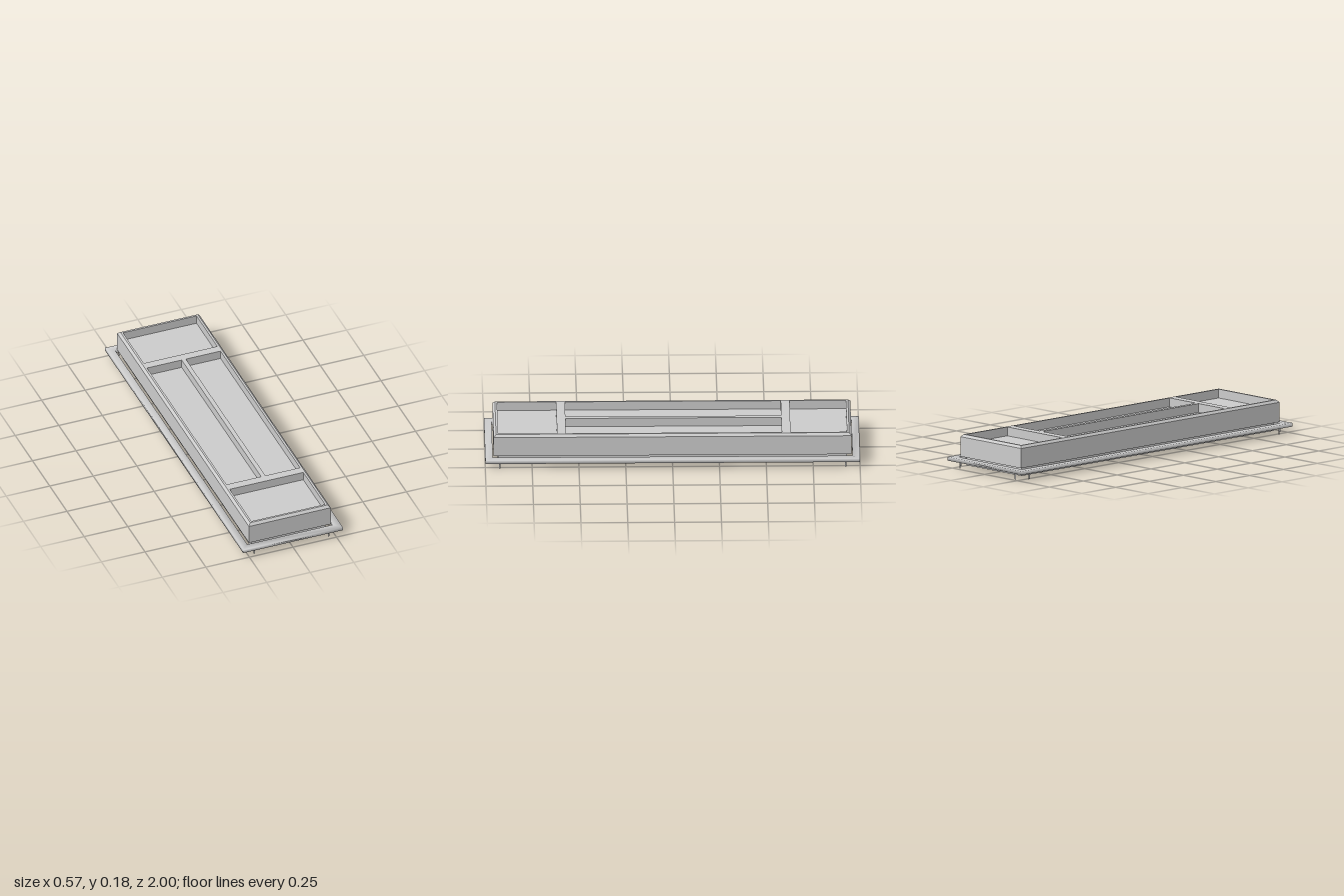
import * as THREE from 'three';
import { mergeVertices } from 'three/addons/utils/BufferGeometryUtils.js';

const material = new THREE.MeshStandardMaterial({ color: 0xcccccc });
const thinMaterial = new THREE.MeshStandardMaterial({ color: 0xcccccc, side: THREE.DoubleSide });

function add(group, name, geometry, x, y, z, mat = material) {
  const mesh = new THREE.Mesh(geometry, mat);
  mesh.name = name;
  mesh.position.set(x, y, z);
  group.add(mesh);
  return mesh;
}

// Box given by its lower and upper corners
function block(group, name, x0, x1, y0, y1, z0, z1) {
  add(group, name, new THREE.BoxGeometry(x1 - x0, y1 - y0, z1 - z0),
    (x0 + x1) / 2, (y0 + y1) / 2, (z0 + z1) / 2);
}

// Thin horizontal floor panel, visible from above and below
function floor(group, name, x0, x1, z0, z1) {
  add(group, name, new THREE.PlaneGeometry(x1 - x0, z1 - z0).rotateX(-Math.PI / 2),
    (x0 + x1) / 2, 0.132, (z0 + z1) / 2, thinMaterial);
}

// Rectangular ring swept from a closed [inset, y] section, with mitred corners.
// The section runs from outer foot to inner foot, inner top and outer top.
function ring(group, name, halfX, halfZ, section, smooth = false) {
  const corners = [[1, 1], [1, -1], [-1, -1], [-1, 1]];
  const positions = [];
  const point = ([sx, sz], [inset, y]) => [sx * (halfX - inset), y, sz * (halfZ - inset)];
  for (let i = 0; i < 4; i++) {
    const c = corners[i], d = corners[(i + 1) % 4];
    for (let j = 0; j < section.length; j++) {
      const p = section[j], q = section[(j + 1) % section.length];
      const a = point(c, p), b = point(d, p), e = point(d, q), f = point(c, q);
      positions.push(...a, ...e, ...b, ...a, ...f, ...e);
    }
  }
  let geometry = new THREE.BufferGeometry();
  geometry.setAttribute('position', new THREE.Float32BufferAttribute(positions, 3));
  if (smooth) geometry = mergeVertices(geometry);
  geometry.computeVertexNormals();
  add(group, name, geometry, 0, 0, 0);
}

export function createModel() {
  const model = new THREE.Group();
  model.name = 'trayFrame';

  // Softly shaded flange around the tray, separated by a narrow gap
  ring(model, 'flange', 0.286, 1,
    [[0, 0.036], [0.04, 0.036], [0.04, 0.056], [0, 0.056]], true);

  // Tray wall with a chamfered top edge
  ring(model, 'trayWall', 0.235, 0.955,
    [[0, 0.06], [0.024, 0.06], [0.024, 0.18], [0.013, 0.18], [0, 0.167]]);

  // Skirt that drops through the flange
  ring(model, 'skirt', 0.2125, 0.932, [[0, 0.012], [0.006, 0.012], [0.006, 0.062], [0, 0.062]]);

  // Crossbars and the central divider
  for (const [z0, z1] of [[-0.63, -0.583], [0.569, 0.616]]) {
    block(model, 'crossbar', -0.212, 0.212, 0.11, 0.18, z0, z1);
  }
  block(model, 'centreDivider', -0.012, 0.012, 0.11, 0.18, -0.583, 0.569);

  // Recessed floors of the two end wells and the two long lanes
  floor(model, 'endFloor', -0.212, 0.212, -0.932, -0.63);
  floor(model, 'endFloor', -0.212, 0.212, 0.616, 0.932);
  floor(model, 'laneFloor', -0.212, -0.012, -0.583, 0.569);
  floor(model, 'laneFloor', 0.012, 0.212, -0.583, 0.569);

  // Thin locating tabs under the flange, one on each side of every corner
  for (const sx of [-1, 1]) {
    for (const sz of [-1, 1]) {
      add(model, 'endTab', new THREE.PlaneGeometry(0.009, 0.037),
        sx * 0.2135, 0.0185, sz * 0.978, thinMaterial);
      add(model, 'sideTab', new THREE.PlaneGeometry(0.009, 0.037).rotateY(Math.PI / 2),
        sx * 0.263, 0.0185, sz * 0.923, thinMaterial);
    }
  }
  return model;
}
